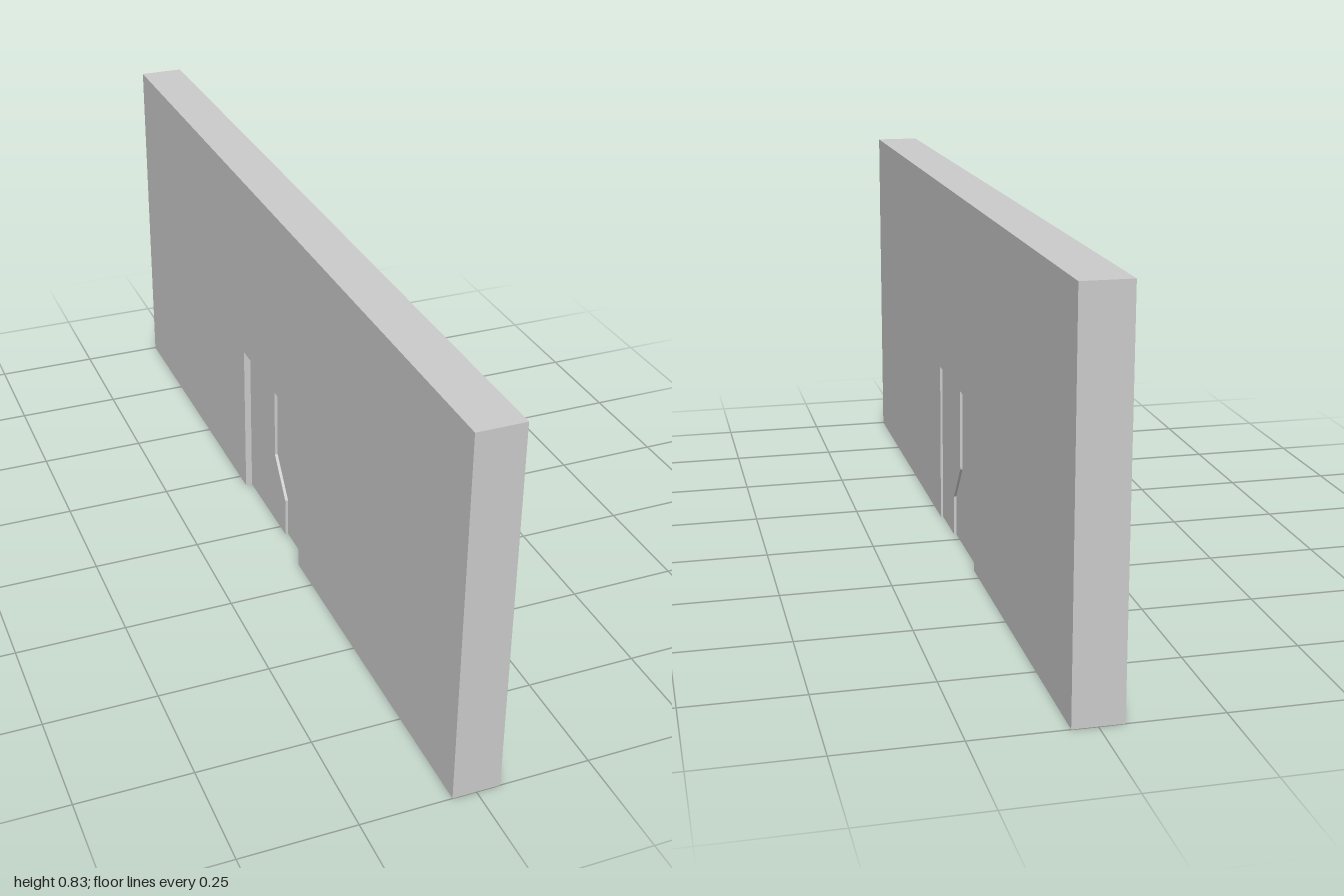
import * as THREE from 'three';

// Extrudes an outline of [z, y] points across the wall thickness, from x0 to x1.
function slab(name, outline, x0, x1, material) {
  const shape = new THREE.Shape(outline.map(([z, y]) => new THREE.Vector2(-z, y)));
  const geometry = new THREE.ExtrudeGeometry(shape, { depth: x1 - x0, bevelEnabled: false });
  geometry.translate(0, 0, x0);
  geometry.rotateY(Math.PI / 2);
  const mesh = new THREE.Mesh(geometry, material);
  mesh.name = name;
  return mesh;
}

export function createModel() {
  const group = new THREE.Group();
  group.name = 'wallWithDoor';
  const material = new THREE.MeshStandardMaterial({ color: 0xcccccc, flatShading: true });

  const half = 0.052, height = 0.835;
  const doorFront = 0.165, doorBack = -0.205, doorTop = 0.385;

  // Wall with a doorway cut up from the floor
  group.add(slab('wall', [
    [1, 0], [doorFront, 0], [doorFront, doorTop], [doorBack, doorTop],
    [doorBack, 0], [-1, 0], [-1, height], [1, height],
  ], -half, half, material));

  // Stepped seam where the two door panels meet, bottom to top
  const seam = [[0.035, 0], [0.035, 0.097], [-0.035, 0.187], [-0.035, doorTop]];

  // Front panel, nearly flush with the left face
  group.add(slab('frontDoorPanel',
    [[doorFront, 0], ...seam, [doorFront, doorTop]],
    -half + 0.023, half - 0.0055, material));

  // Back panel, shifted toward the right face
  group.add(slab('backDoorPanel',
    [...seam.slice().reverse(), [doorBack, 0], [doorBack, doorTop]].reverse(),
    -half + 0.016, half - 0.011, material));

  return group;
}
